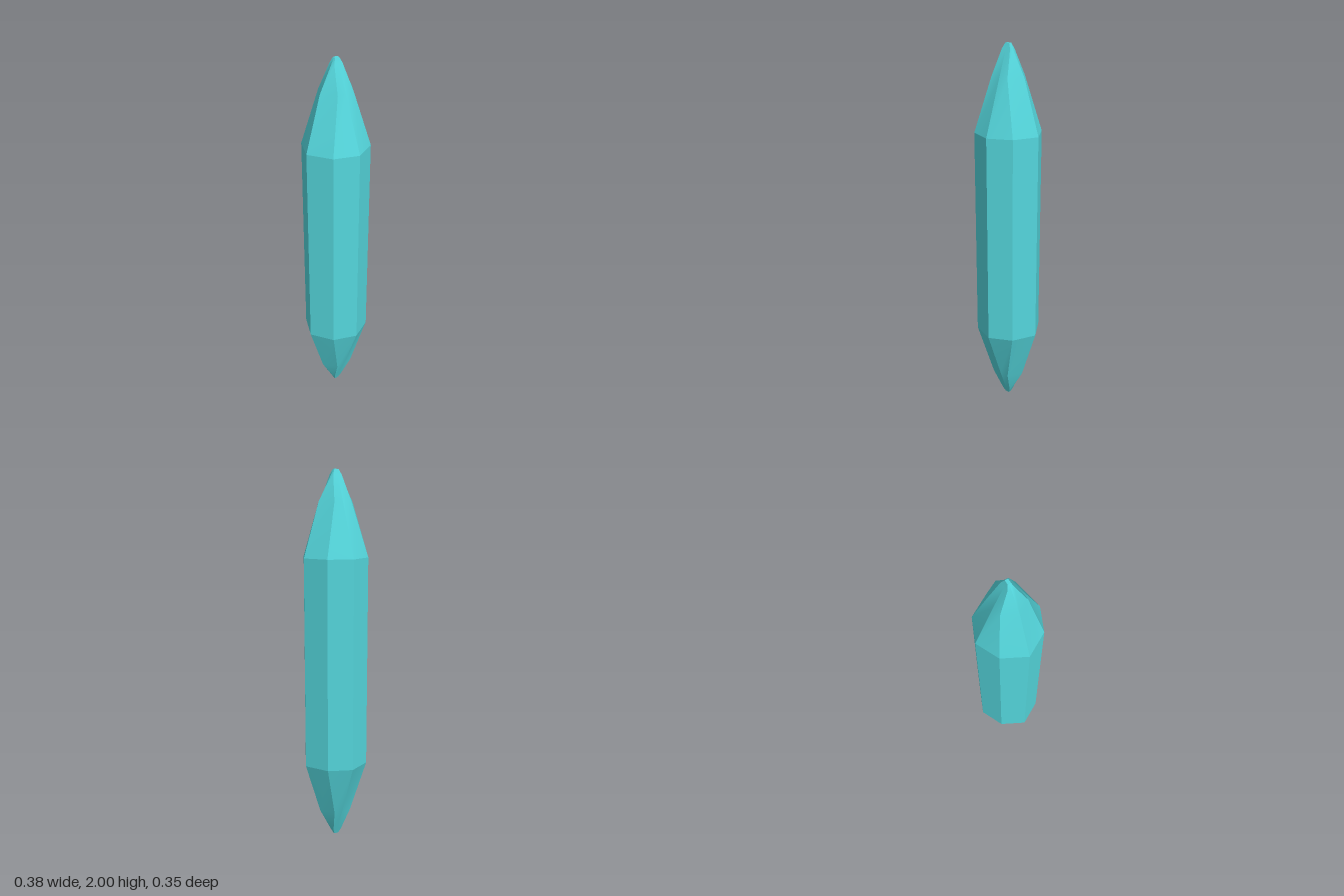
import * as THREE from 'three';

// Half profile above the middle: [height, side x, corner x, corner z, front z]
const SHOULDER = [0.56, 0.188, 0.122, 0.122, 0.177];
const WAIST = [0.84, 0.1, 0.05, 0.071, 0.071];
const NECK = [0.972, 0.027, 0.025, 0.018, 0.018];
const TIP = [1, 0.012, 0.012, 0.008, 0.008];
const CENTRE = [1, 0, 0, 0, 0];
const flip = ([y, ...r]) => [-y, ...r];

// Eight points around the stone, running from +z towards +x
function ringPoints([y, ax, cx, cz, az]) {
  return [
    [0, az], [cx, cz], [ax, 0], [cx, -cz],
    [0, -az], [-cx, -cz], [-ax, 0], [-cx, cz],
  ].map(([x, z]) => [x, y + 1, z]);
}

// Facet columns: smooth along each column, sharp between neighbours
function facets(profiles) {
  const rings = profiles.map(ringPoints);
  const positions = [], index = [];
  for (let i = 0; i < 8; i++) {
    rings.forEach((ring, k) => {
      const v = positions.length / 3;
      positions.push(...ring[i], ...ring[(i + 1) % 8]);
      if (k < rings.length - 1) index.push(v, v + 1, v + 3, v, v + 3, v + 2);
    });
  }
  const geometry = new THREE.BufferGeometry();
  geometry.setAttribute('position', new THREE.Float32BufferAttribute(positions, 3));
  geometry.setIndex(index);
  geometry.computeVertexNormals();
  return geometry;
}

export function createModel() {
  const group = new THREE.Group();
  group.name = 'crystal';
  const material = new THREE.MeshStandardMaterial({ color: 0x54d6dc });
  const add = (name, profiles) => {
    const mesh = new THREE.Mesh(facets(profiles), material);
    mesh.name = name;
    group.add(mesh);
  };

  const point = [SHOULDER, WAIST, NECK, TIP];
  add('shaft', [flip(SHOULDER), SHOULDER]);
  add('upperPoint', point);
  add('lowerPoint', point.map(flip).reverse());
  // Tiny flat ends
  add('upperTip', [TIP, CENTRE]);
  add('lowerTip', [flip(CENTRE), flip(TIP)]);
  return group;
}
